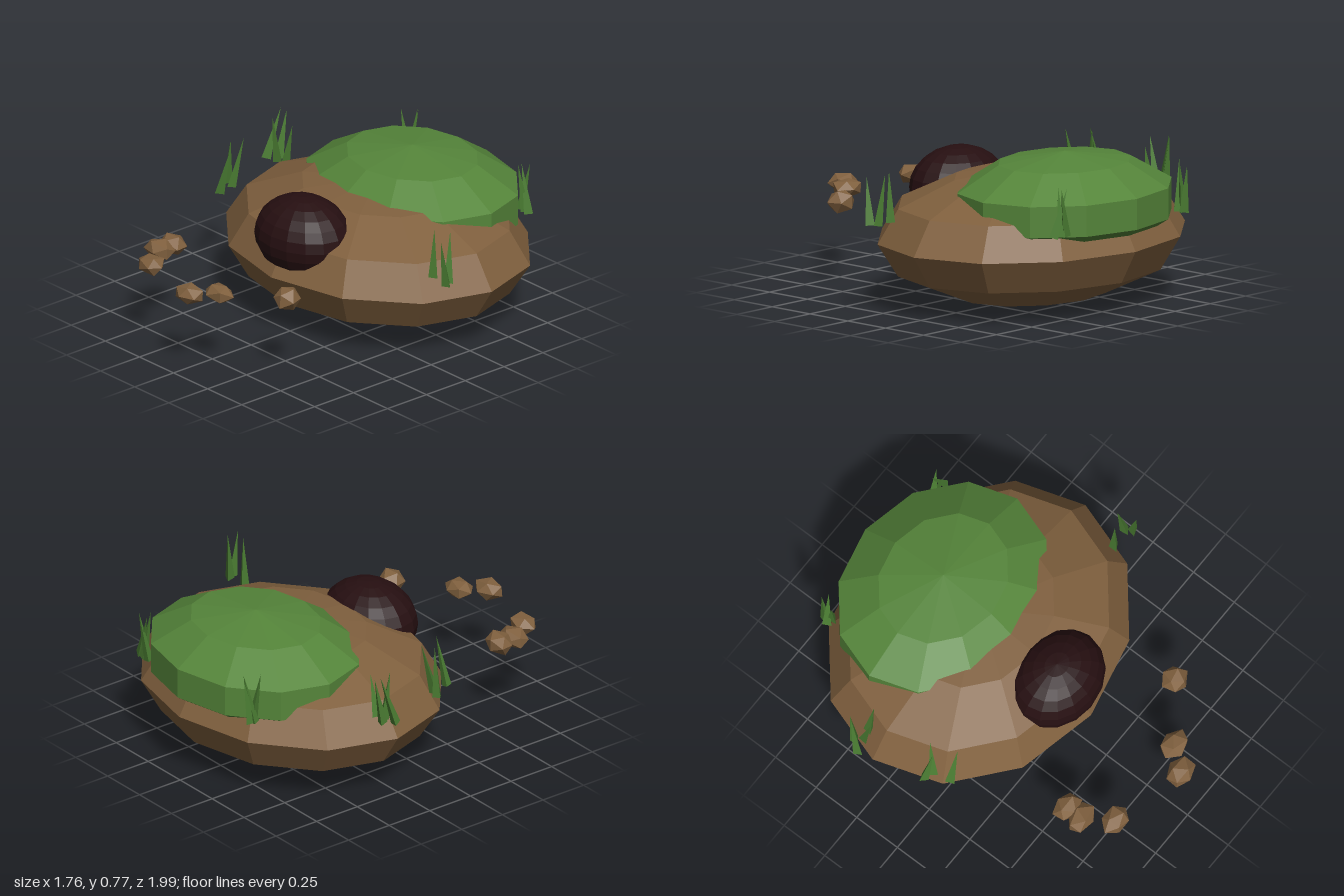
import * as THREE from 'three';

function material(name, color) {
  const m = new THREE.MeshStandardMaterial({ color, flatShading: true });
  m.name = name;
  return m;
}

function seeded(seed) {
  let s = seed;
  return () => (s = (s * 16807) % 2147483647) / 2147483647;
}

export function createModel() {
  const group = new THREE.Group();
  group.name = 'burrow';
  const earth = material('earth brown', 0x80603e);
  const turf = material('turf green', 0x55853a);
  const blade = material('blade green', 0x4a7c32);
  const dark = material('hollow dark', 0x260f11);

  const add = (name, geometry, mat, parent = group) => {
    const mesh = new THREE.Mesh(geometry, mat);
    mesh.name = name;
    parent.add(mesh);
    return mesh;
  };
  const ellipsoid = (name, mat, across, down, size, centre) => {
    const g = new THREE.SphereGeometry(1, across, down);
    g.scale(...size);
    add(name, g, mat).position.set(...centre);
  };

  // Earth mound, turf cap and burrow entrance
  ellipsoid('mound', earth, 12, 6, [0.833, 0.332, 0.69], [0.02, 0.335, -0.3]);
  ellipsoid('turfCap', turf, 12, 5, [0.61, 0.248, 0.505], [0.02, 0.522, -0.52]);
  ellipsoid('entrance', dark, 16, 12, [0.265, 0.2, 0.217], [0.02, 0.5, 0.18]);

  // Loose stones: x, y, z, half width, half height, half depth
  const stones = [
    [-0.45, 0.42, 0.61, 0.083, 0.055, 0.064],
    [-0.45, 0.42, 0.7, 0.09, 0.05, 0.066],
    [-0.35, 0.415, 0.835, 0.082, 0.05, 0.066],
    [0.125, 0.415, 0.815, 0.085, 0.05, 0.066],
    [0.035, 0.415, 0.93, 0.086, 0.05, 0.068],
    [0.39, 0.418, 0.61, 0.072, 0.062, 0.068],
  ];
  stones.forEach(([x, y, z, sx, sy, sz], i) => {
    const rand = seeded(911 + i * 7457);
    const g = new THREE.IcosahedronGeometry(1, 0);
    const p = g.attributes.position;
    const v = new THREE.Vector3();
    const bumps = new Map();
    g.rotateY(i * 1.3);
    // the same corner gets the same bump in every face
    for (let k = 0; k < p.count; k++) {
      v.fromBufferAttribute(p, k);
      const key = v.toArray().map((c) => Math.round(c * 100)).join();
      if (!bumps.has(key)) bumps.set(key, 0.9 + 0.22 * rand());
      v.multiplyScalar(bumps.get(key));
      p.setXYZ(k, v.x, v.y, v.z);
    }
    g.scale(sx, sy, sz);
    g.computeVertexNormals();
    add('stone' + (i + 1), g, earth).position.set(x, y, z);
  });

  // Grass tufts: each blade is base x, base z, tip x, tip z, tip height
  const tufts = {
    leftFrontTuft: [
      [0.735, -0.03, 0.74, -0.03, 0.71],
      [0.835, -0.04, 0.81, -0.07, 0.71],
      [0.855, -0.01, 0.845, 0.02, 0.69],
    ],
    rightFrontTuft: [
      [-0.77, -0.02, -0.72, 0.0, 0.7],
      [-0.72, 0.0, -0.68, -0.05, 0.71],
      [-0.7, 0.09, -0.63, 0.08, 0.7],
    ],
    rightSideTuft: [
      [-0.86, -0.35, -0.83, -0.42, 0.71],
      [-0.82, -0.4, -0.81, -0.44, 0.7],
      [-0.79, -0.37, -0.79, -0.33, 0.7],
      [-0.74, -0.38, -0.7, -0.38, 0.67],
    ],
    rightBackTuft: [
      [-0.43, -0.88, -0.38, -0.91, 0.7],
      [-0.4, -0.87, -0.44, -0.85, 0.71],
      [-0.42, -0.9, -0.41, -0.93, 0.69],
    ],
    leftBackTuft: [
      [0.4, -0.88, 0.45, -0.9, 0.7],
      [0.44, -0.88, 0.42, -0.85, 0.7],
      [0.48, -0.87, 0.4, -0.89, 0.69],
    ],
  };
  const up = new THREE.Vector3(0, 1, 0);
  for (const [name, blades] of Object.entries(tufts)) {
    const tuft = new THREE.Group();
    tuft.name = name;
    group.add(tuft);
    blades.forEach(([bx, bz, tx, tz, ty], i) => {
      const base = new THREE.Vector3(bx, 0.455, bz);
      const dir = new THREE.Vector3(tx, ty, tz).sub(base);
      const length = dir.length();
      const g = new THREE.ConeGeometry(0.027, length, 3);
      g.translate(0, length / 2, 0);
      g.rotateY(i * 1.7 + bx * 5);
      const mesh = add('blade', g, blade, tuft);
      mesh.position.copy(base);
      mesh.quaternion.setFromUnitVectors(up, dir.normalize());
    });
  }
  return group;
}
